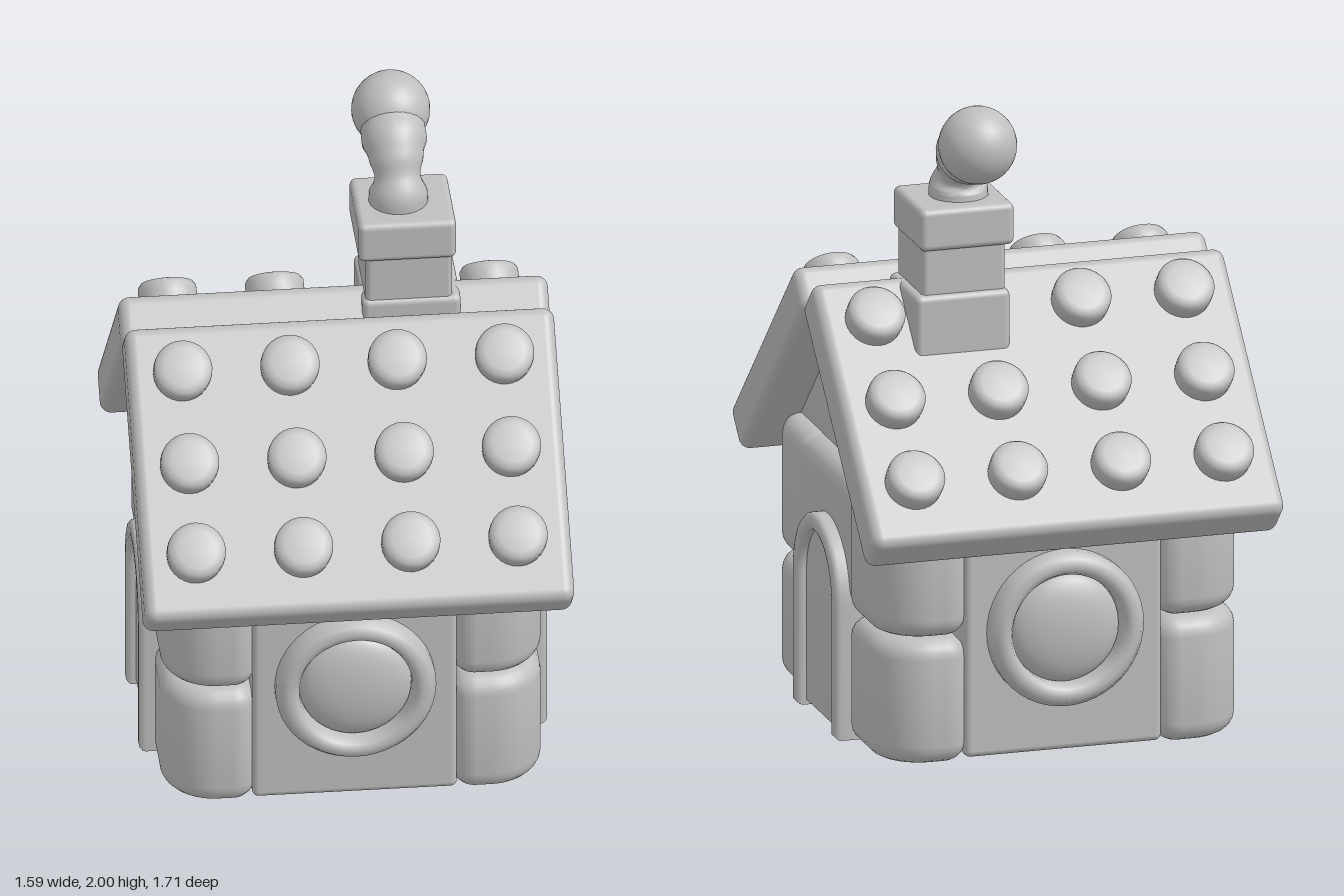
import * as THREE from 'three';
import { toCreasedNormals } from 'three/addons/utils/BufferGeometryUtils.js';
import { RoundedBoxGeometry } from 'three/addons/geometries/RoundedBoxGeometry.js';

const clay = new THREE.MeshStandardMaterial({ color: 0xbfbfbf });
clay.name = 'grey clay';

function add(parent, name, geometry, x = 0, y = 0, z = 0) {
  const mesh = new THREE.Mesh(geometry, clay);
  mesh.name = name;
  mesh.position.set(x, y, z);
  parent.add(mesh);
  return mesh;
}

// Rounded block given by its lower and upper corners
function block(parent, name, [x0, y0, z0], [x1, y1, z1], r) {
  return add(parent, name, new RoundedBoxGeometry(x1 - x0, y1 - y0, z1 - z0, 5, r),
    (x0 + x1) / 2, (y0 + y1) / 2, (z0 + z1) / 2);
}

function extrude(shape, depth, bevel, bevelSegments = 3) {
  const g = new THREE.ExtrudeGeometry(shape, {
    depth: depth - 2 * bevel, bevelThickness: bevel, bevelSize: bevel,
    bevelOffset: -bevel, bevelSegments, curveSegments: 16,
  });
  g.translate(0, 0, bevel);
  return toCreasedNormals(g, 0.7);
}

// Rectangle with its own radius at each corner, counter-clockwise from the lower left
function roundedRect(x0, y0, x1, y1, [a, b, c, d]) {
  const s = new THREE.Shape();
  s.absarc(x0 + a, y0 + a, a, Math.PI, Math.PI * 1.5, false);
  s.absarc(x1 - b, y0 + b, b, Math.PI * 1.5, Math.PI * 2, false);
  s.absarc(x1 - c, y1 - c, c, 0, Math.PI / 2, false);
  s.absarc(x0 + d, y1 - d, d, Math.PI / 2, Math.PI, false);
  s.closePath();
  return s;
}

// Door outline with a round top
function arch(half, spring) {
  const s = new THREE.Shape();
  s.moveTo(-half, 0.01);
  s.lineTo(half, 0.01);
  s.lineTo(half, spring);
  s.absarc(0, spring, half, 0, Math.PI, false);
  s.closePath();
  return s;
}

// Arched band, open at the bottom
function archFrame(outer, inner, spring) {
  const s = new THREE.Shape();
  s.moveTo(inner, 0);
  s.lineTo(outer, 0);
  s.lineTo(outer, spring);
  s.absarc(0, spring, outer, 0, Math.PI, false);
  s.lineTo(-outer, 0);
  s.lineTo(-inner, 0);
  s.lineTo(-inner, spring);
  s.absarc(0, spring, inner, Math.PI, 0, true);
  s.closePath();
  return s;
}

// Profile points run from the outer foot over the top
const lathe = (points, sides) => toCreasedNormals(
  new THREE.LatheGeometry(points.map((p) => new THREE.Vector2(...p)), sides), 0.8);

function buildWalls(house) {
  const walls = new THREE.Group();
  walls.name = 'walls';
  house.add(walls);
  // Two stacked blocks at each corner, most rounded on the outside
  const outward = [[-1, -1], [1, -1], [1, 1], [-1, 1]];
  outward.forEach(([sx, sy], corner) => {
    const radii = outward.map((_, i) => (i === corner ? 0.165 : 0.07));
    const outline = roundedRect(sx * 0.44 - 0.14, sy * 0.395 - 0.188, sx * 0.44 + 0.14, sy * 0.395 + 0.188, radii);
    for (const [y0, y1] of [[0, 0.395], [0.4, 0.825]]) {
      add(walls, 'cornerBlock', extrude(outline, y1 - y0, 0.06, 5), 0, y0, 0).rotation.x = -Math.PI / 2;
    }
  });
  for (const s of [-1, 1]) {
    // Flat wall that carries the round window
    const front = block(walls, 'windowWall', [-0.312, 0.012, -0.135], [0.312, 0.82, 0.135], 0.02);
    front.position.z = s * 0.435;
    // Wall above and behind the door
    const lintel = block(walls, 'doorLintel', [-0.12, 0.41, -0.42], [0.12, 0.823, 0.42], 0.07);
    lintel.position.x = s * 0.457;
    const backing = block(walls, 'doorWall', [-0.135, 0.012, -0.24], [0.135, 0.6, 0.24], 0.02);
    backing.position.x = s * 0.43;
  }
  block(walls, 'floor', [-0.42, 0.08, -0.42], [0.42, 0.12, 0.42], 0.01);
}

function buildGables(house) {
  const corners = [[-0.01, 0.78], [0.51, 0.78], [0.51, 0.83], [-0.01, 1.32]];
  const right = new THREE.Shape(corners.map(([x, y]) => new THREE.Vector2(x, y)));
  const left = new THREE.Shape(corners.map(([x, y]) => new THREE.Vector2(-x, y)).reverse());
  const halves = [right, left].map((shape) => extrude(shape, 0.14, 0.018));
  for (const s of [-1, 1]) {
    const gable = new THREE.Group();
    gable.name = 'gable';
    gable.rotation.y = s * Math.PI / 2;
    for (const half of halves) add(gable, 'gableHalf', half, 0, 0, 0.37);
    house.add(gable);
  }
}

function buildDoors(house) {
  const frame = extrude(archFrame(0.225, 0.168, 0.428), 0.125, 0.02);
  const panel = extrude(arch(0.175, 0.428), 0.09, 0.012);
  for (const s of [-1, 1]) {
    const door = new THREE.Group();
    door.name = 'door';
    door.rotation.y = s * Math.PI / 2;
    add(door, 'doorFrame', frame, 0.02, 0, 0.5);
    add(door, 'doorPanel', panel, 0.02, 0, 0.505);
    house.add(door);
  }
}

function buildWindows(house) {
  const ring = lathe([[0.245, 0], [0.245, 0.05], [0.228, 0.078], [0.205, 0.088],
    [0.185, 0.08], [0.173, 0.055], [0.17, 0]], 48);
  const pane = new THREE.SphereGeometry(0.172, 32, 20);
  for (const s of [1, -1]) {
    const win = new THREE.Group();
    win.name = 'roundWindow';
    win.rotation.y = s > 0 ? 0 : Math.PI;
    add(win, 'windowRing', ring, 0, 0.405, 0.55).rotation.x = Math.PI / 2;
    add(win, 'windowPane', pane, 0, 0.405, 0.575).scale.z = 0.36;
    house.add(win);
  }
}

function buildRoof(house) {
  const stud = lathe([[0.086, -0.02], [0.09, 0.03], [0.089, 0.055], [0.08, 0.068], [0.06, 0.073], [0, 0.075]], 28);
  for (const s of [1, -1]) {
    const side = new THREE.Group();
    side.name = 'roofSide';
    side.rotation.y = s > 0 ? 0 : Math.PI;
    const slope = new THREE.Group();
    slope.name = 'roofSlope';
    slope.position.y = 1.292;
    slope.rotation.x = 0.78;
    side.add(slope);
    block(slope, 'roofSlab', [-0.655, 0, -0.02], [0.655, 0.155, 0.9], 0.035);
    for (const z of [0.13, 0.42, 0.7]) for (let i = 0; i < 4; i++) {
      // The chimney takes the place of one stud
      if (s < 0 && z < 0.2 && i === 1) continue;
      add(slope, 'roofStud', stud, -0.49 + i * 0.327, 0.152, z);
    }
    house.add(side);
  }
}

function buildChimney(house) {
  const chimney = new THREE.Group();
  chimney.name = 'chimney';
  chimney.position.set(0.218, 0, -0.15);
  block(chimney, 'chimneyBase', [-0.135, 1.14, -0.148], [0.165, 1.4, 0.14], 0.02);
  block(chimney, 'chimneyStack', [-0.125, 1.3, -0.13], [0.14, 1.56, 0.13], 0.018);
  block(chimney, 'chimneyCap', [-0.148, 1.54, -0.148], [0.15, 1.672, 0.148], 0.02);
  house.add(chimney);
}

// Curling puff of smoke: a tube whose rings swell and shrink
function buildSmoke(root) {
  const path = new THREE.CatmullRomCurve3([[0.165, 1.64, -0.195], [0.165, 1.72, -0.195],
    [0.15, 1.81, -0.25], [0.135, 1.845, -0.31], [0.12, 1.88, -0.375]]
    .map((p) => new THREE.Vector3(...p)));
  const rows = 32, sides = 24;
  const radii = [0.092, 0.09, 0.07, 0.084, 0.1, 0.098, 0.1];
  const tube = new THREE.TubeGeometry(path, rows, 1, sides);
  const pos = tube.attributes.position, v = new THREE.Vector3();
  for (let i = 0; i <= rows; i++) {
    const c = path.getPointAt(i / rows);
    const t = (i / rows) * (radii.length - 1);
    const k = Math.min(Math.floor(t), radii.length - 2);
    const r = THREE.MathUtils.lerp(radii[k], radii[k + 1], THREE.MathUtils.smoothstep(t - k, 0, 1));
    for (let j = 0; j <= sides; j++) {
      const n = i * (sides + 1) + j;
      v.fromBufferAttribute(pos, n).sub(c).multiplyScalar(r).add(c);
      pos.setXYZ(n, v.x, v.y, v.z);
    }
  }
  add(root, 'smokeTrail', toCreasedNormals(tube, 1.2));
  add(root, 'smokePuff', new THREE.SphereGeometry(0.12, 32, 20), 0.12, 1.88, -0.373);
}

export function createModel() {
  const root = new THREE.Group();
  root.name = 'toyHouse';
  const house = new THREE.Group();
  house.name = 'house';
  house.rotation.y = 0.227;
  root.add(house);
  buildWalls(house);
  buildGables(house);
  buildDoors(house);
  buildWindows(house);
  buildRoof(house);
  buildChimney(house);
  buildSmoke(root);
  return root;
}
